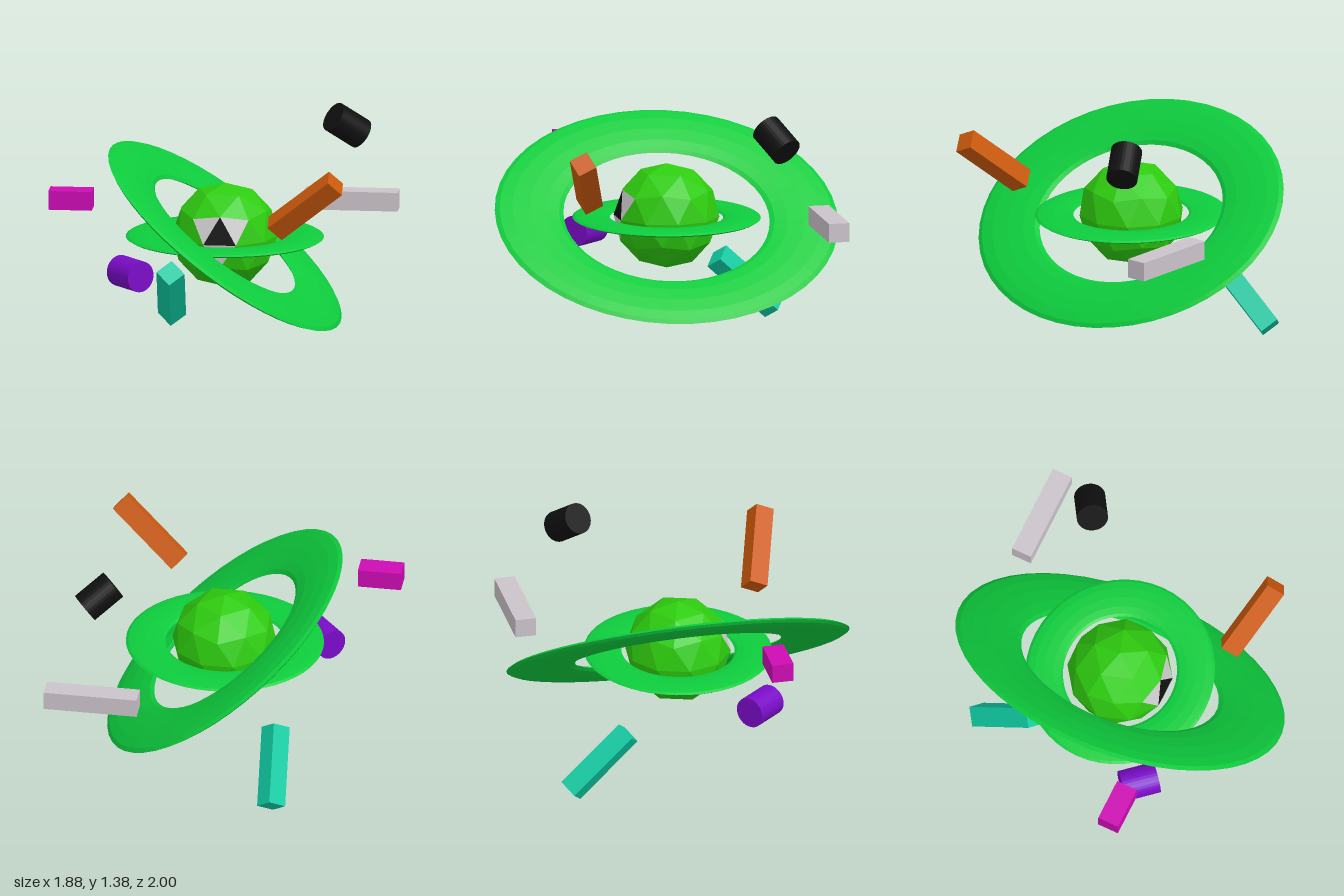
import * as THREE from 'three';

const material = (color) => new THREE.MeshStandardMaterial({ color, flatShading: true });

function addMesh(group, name, geometry, color) {
  const mesh = new THREE.Mesh(geometry, material(color));
  mesh.name = name;
  group.add(mesh);
  return mesh;
}

// Faceted ball, one vertex straight up; the front face carries the eye
function createBall() {
  const ball = new THREE.Group();
  ball.name = 'ball';
  const t = (1 + Math.sqrt(5)) / 2;
  const tilt = Math.PI / 2 - Math.atan(1 / t); // brings a vertex to the pole
  const geometry = new THREE.IcosahedronGeometry(0.305, 1).rotateX(tilt);
  const eyeAxis = new THREE.Vector3(0, 2 * t + 1, t).normalize()
    .applyAxisAngle(new THREE.Vector3(1, 0, 0), tilt);
  const pos = geometry.attributes.position;
  const faces = { shell: [], eyeWhite: [], pupil: [] };
  for (let i = 0; i < pos.count; i += 3) {
    const corners = [0, 1, 2].map((k) => new THREE.Vector3().fromBufferAttribute(pos, i + k));
    const centre = corners[0].clone().add(corners[1]).add(corners[2]).normalize();
    const closeness = centre.dot(eyeAxis);
    const part = closeness > 0.99 ? 'pupil' : closeness > 0.89 ? 'eyeWhite' : 'shell';
    faces[part].push(...corners);
  }
  const colors = { shell: 0x2ecc0f, eyeWhite: 0xcccccc, pupil: 0x101010 };
  for (const part in faces) {
    const g = new THREE.BufferGeometry().setFromPoints(faces[part]);
    g.computeVertexNormals();
    addMesh(ball, part, g, colors[part]);
  }
  ball.position.set(0.025, 0.705, 0);
  return ball;
}

// Flattened oval ring lying in the xz plane
function addRing(group, name, halfX, halfZ, halfY, tilt) {
  const geometry = new THREE.TorusGeometry(0.8, 0.2, 12, 48).rotateX(Math.PI / 2);
  geometry.scale(halfX, halfY / 0.2, halfZ);
  const ring = addMesh(group, name, geometry, 0x0ecc3d);
  ring.position.set(0.025, 0.695, 0);
  ring.rotation.z = tilt;
}

// Box whose length runs along `along` and whose depth runs roughly along `across`
function addBlock(group, name, size, centre, color, along = [1, 0, 0], across = [0, 0, 1]) {
  const block = addMesh(group, name, new THREE.BoxGeometry(...size), color);
  const x = new THREE.Vector3(...along).normalize();
  const y = new THREE.Vector3(...across).cross(x).normalize();
  const z = x.clone().cross(y);
  block.quaternion.setFromRotationMatrix(new THREE.Matrix4().makeBasis(x, y, z));
  block.position.set(...centre);
}

function addDrum(group, name, centre, axis, color) {
  const drum = addMesh(group, name, new THREE.CylinderGeometry(0.09, 0.09, 0.21, 32), color);
  drum.quaternion.setFromUnitVectors(new THREE.Vector3(0, 1, 0), new THREE.Vector3(...axis).normalize());
  drum.position.set(...centre);
}

export function createModel() {
  const model = new THREE.Group();
  model.name = 'ringedBall';
  model.add(createBall());

  // Rings around the ball
  addRing(model, 'innerRing', 0.57, 0.54, 0.018, 0);
  addRing(model, 'outerRing', 0.83, 1, 0.027, -0.64);

  // Floating blocks
  addBlock(model, 'greyBlock', [0.54, 0.11, 0.12], [0.67, 0.745, -0.81], 0xcbc3ca);
  addBlock(model, 'magentaBlock', [0.25, 0.11, 0.125], [-0.82, 0.985, 0.393], 0xcc0cb4);
  addBlock(model, 'orangeBlock', [0.485, 0.115, 0.112], [0.553, 1.02, 0.59], 0xcc5a0c,
    [0.36, 0.3, 0.12], [0, -0.05, 0.1]);
  addBlock(model, 'tealBlock', [0.47, 0.115, 0.115], [-0.344, 0.223, -0.548], 0x0fcca3,
    [0.028, 0.313, 0.34], [0.085, 0.06, -0.055]);

  // Floating drums
  addDrum(model, 'purpleDrum', [-0.482, 0.545, 0.367], [0.66, 0, 0.75], 0x7a0cc8);
  addDrum(model, 'blackDrum', [0.677, 1.25, -0.5], [0.7, -0.55, -0.42], 0x101010);

  return model;
}
